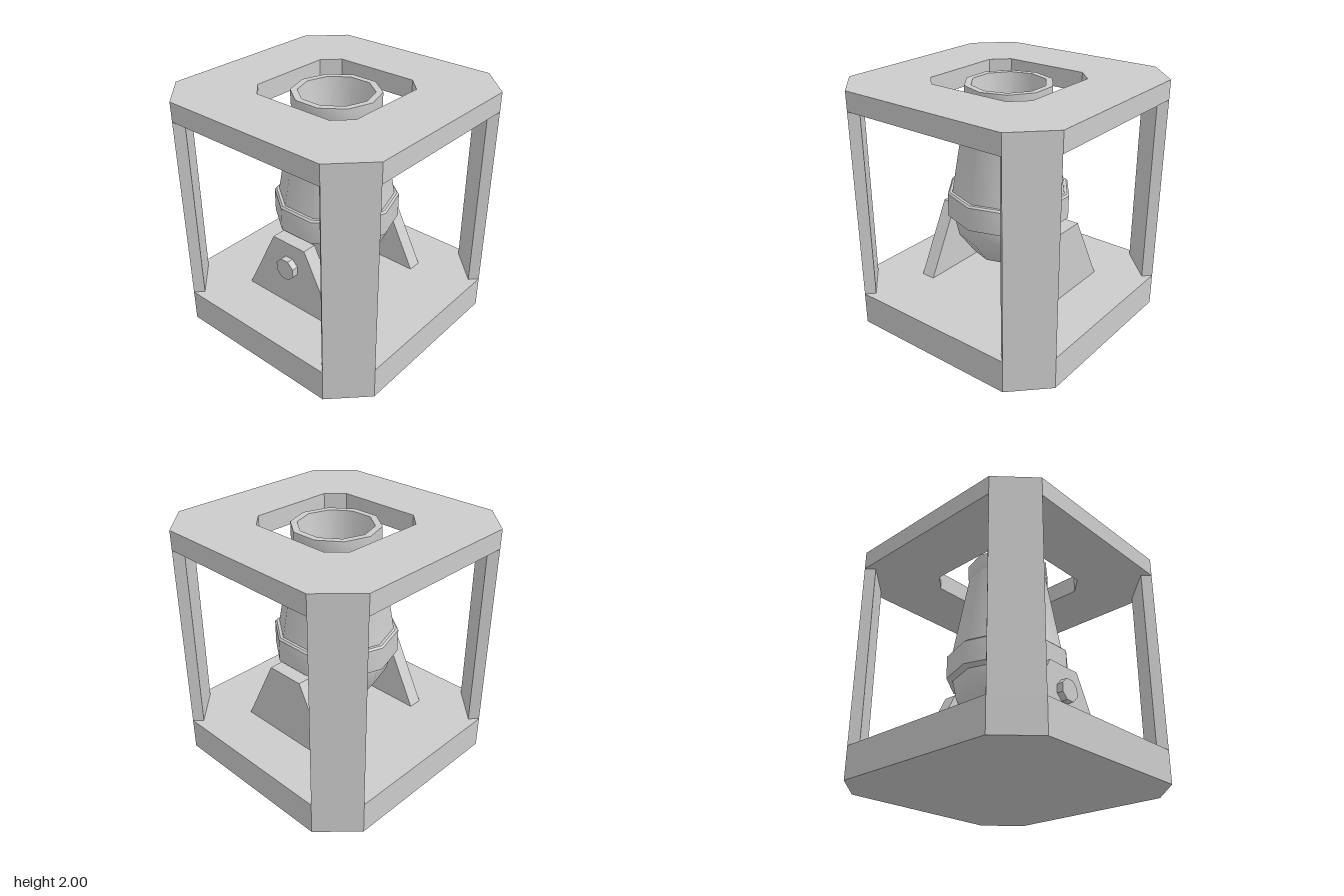
import * as THREE from 'three';
import { toCreasedNormals } from 'three/addons/utils/BufferGeometryUtils.js';

const material = new THREE.MeshStandardMaterial({ color: 0xcccccc });

function addMesh(parent, name, geometry) {
  const mesh = new THREE.Mesh(geometry, material);
  mesh.name = name;
  parent.add(mesh);
  return mesh;
}

// Corner points of a square with cut corners: h = half size, c = where the cut starts
function cutSquare(h, c) {
  return [[h, -c], [h, c], [c, h], [-c, h], [-h, c], [-h, -c], [-c, -h], [c, -h]]
    .map(([x, y]) => new THREE.Vector2(x, y));
}

// Extrude a plan outline upward from y0 to y1
function slab(shape, y0, y1) {
  return new THREE.ExtrudeGeometry(shape, { depth: y1 - y0, bevelEnabled: false })
    .rotateX(-Math.PI / 2)
    .translate(0, y0, 0);
}

export function createModel() {
  const model = new THREE.Group();
  model.name = 'framedMortar';

  // Frame: solid base, top plate with a cut-cornered opening, four corner planks
  const frame = new THREE.Group();
  frame.name = 'frame';
  model.add(frame);
  addMesh(frame, 'basePlate', slab(new THREE.Shape(cutSquare(1, 0.725)), 0, 0.27));
  const top = new THREE.Shape(cutSquare(1, 0.725));
  top.holes.push(new THREE.Path(cutSquare(0.485, 0.355).reverse()));
  addMesh(frame, 'topPlate', slab(top, 1.84, 2));

  const plank = new THREE.Shape([[1, 0.725], [0.725, 1], [0.66, 0.935], [0.935, 0.66]]
    .map(([x, y]) => new THREE.Vector2(x, y)));
  const plankGeometry = slab(plank, 0.27, 1.84);
  for (let i = 0; i < 4; i++) {
    addMesh(frame, 'cornerPost', plankGeometry).rotation.y = i * Math.PI / 2;
  }

  // Mortar: ten-sided turned body with rounded breech, collar, muzzle lip and bore
  const profile = [
    [0, 0.425], [0.3, 0.535], [0.425, 0.71], [0.458, 0.865],
    [0.458, 0.87], [0.51, 0.89], [0.51, 1.085], [0.495, 1.1], [0.472, 1.1],
    [0.345, 1.83], [0.354, 1.85], [0.354, 1.97], [0.3, 1.97],
    [0.145, 0.95], [0, 0.93],
  ].map(([r, y]) => new THREE.Vector2(r, y));
  const body = new THREE.LatheGeometry(profile, 10, Math.PI / 2);
  addMesh(model, 'mortarBarrel', toCreasedNormals(body, 0.7));

  // Trapezoid supports in front of and behind the barrel
  const cheek = new THREE.Shape([[-0.47, 0.27], [0.47, 0.27], [0.165, 0.865], [-0.165, 0.865]]
    .map(([x, y]) => new THREE.Vector2(x, y)));
  const cheekGeometry = new THREE.ExtrudeGeometry(cheek, { depth: 0.12, bevelEnabled: false });
  addMesh(model, 'frontSupport', cheekGeometry).position.z = 0.455;
  addMesh(model, 'backSupport', cheekGeometry).position.z = -0.575;

  // Octagonal pivot knob on the front support
  const knob = new THREE.CylinderGeometry(0.095, 0.095, 0.055, 8)
    .rotateY(Math.PI / 8)
    .rotateX(Math.PI / 2)
    .translate(0, 0.647, 0.6025);
  addMesh(model, 'pivotKnob', toCreasedNormals(knob, 0.5));

  return model;
}
